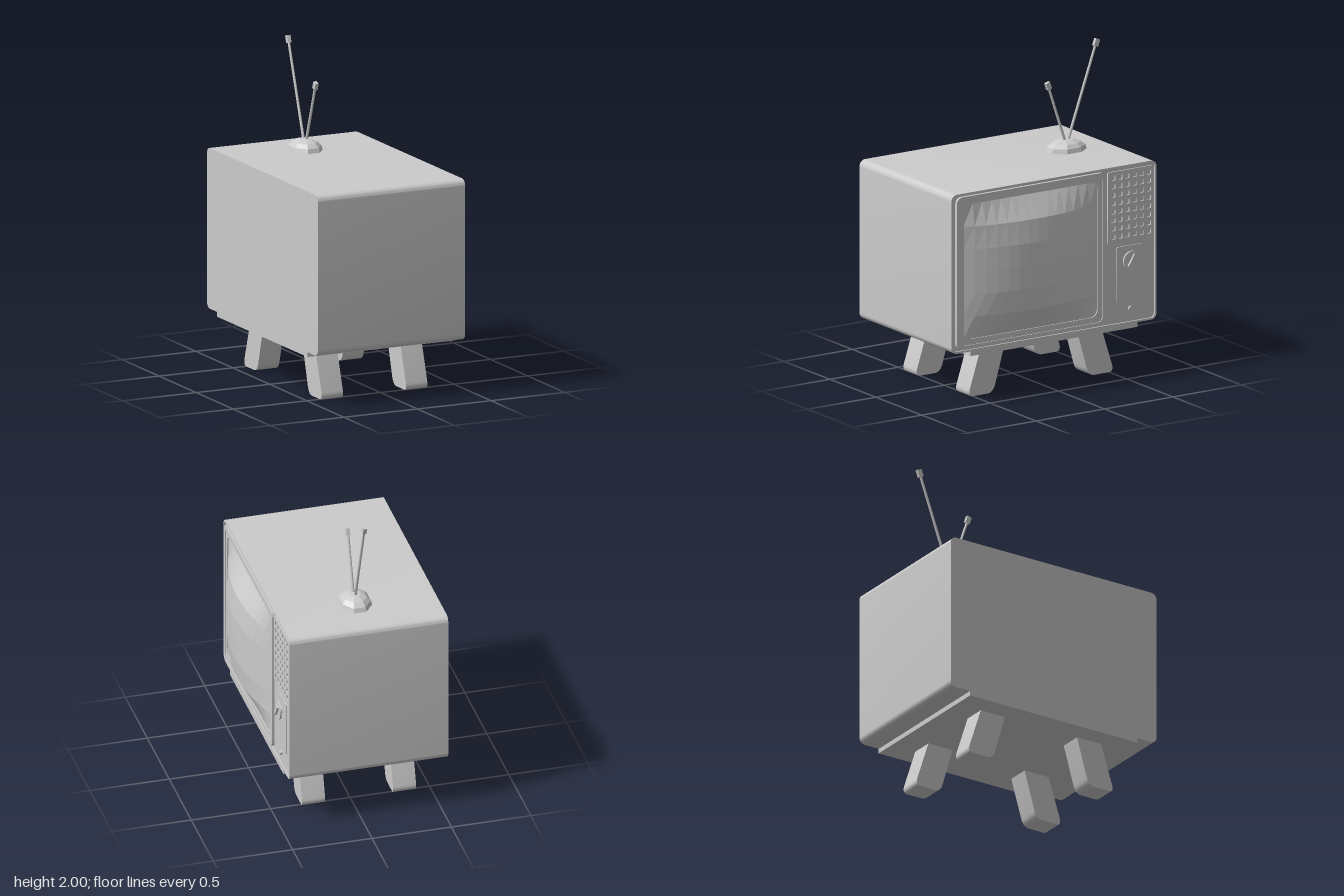
import * as THREE from 'three';
import { toCreasedNormals } from 'three/addons/utils/BufferGeometryUtils.js';

const smooth = new THREE.MeshStandardMaterial({ color: 0xcccccc });
const faceted = new THREE.MeshStandardMaterial({ color: 0xcccccc, flatShading: true });

// Rounded rectangle outline from its edges
function roundRect(x0, x1, y0, y1, r, Type = THREE.Shape) {
  const s = new Type();
  const h = Math.PI / 2;
  s.absarc(x1 - r, y0 + r, r, -h, 0);
  s.absarc(x1 - r, y1 - r, r, 0, h);
  s.absarc(x0 + r, y1 - r, r, h, 2 * h);
  s.absarc(x0 + r, y0 + r, r, 2 * h, 3 * h);
  s.closePath();
  return s;
}

// Shape extruded between two depths
function slab(shape, z0, z1, curveSegments = 6) {
  const g = new THREE.ExtrudeGeometry(shape, { depth: z1 - z0, bevelEnabled: false, curveSegments });
  g.translate(0, 0, z0);
  return toCreasedNormals(g, 0.6);
}

// Frame: outer outline with an inner opening
function ring(outer, inner, z0, z1) {
  const s = roundRect(...outer);
  s.holes.push(roundRect(...inner, THREE.Path));
  return slab(s, z0, z1);
}

export function createModel() {
  const model = new THREE.Group();
  model.name = 'television';
  // The set is built with its screen towards local +z, then turned to +x
  const set = new THREE.Group();
  set.name = 'televisionSet';
  set.rotation.y = Math.PI / 2;
  model.add(set);

  const add = (name, geometry, material = smooth, parent = set) => {
    const m = new THREE.Mesh(geometry, material);
    m.name = name;
    parent.add(m);
    return m;
  };

  // Cabinet with a thin lip around the front panel
  add('cabinet', slab(roundRect(-0.75, 0.75, 0.33, 1.33, 0.04), -0.55, 0.44));
  add('cabinetLip', ring([-0.75, 0.75, 0.33, 1.33, 0.04], [-0.738, 0.738, 0.342, 1.318, 0.03], 0.44, 0.45));
  add('basePlate', new THREE.BoxGeometry(1.22, 0.04, 1)).position.set(0, 0.32, -0.05);

  // Stepped frame around the screen
  add('screenFrameOuter', ring([-0.715, 0.376, 0.35, 1.31, 0.04], [-0.692, 0.352, 0.373, 1.287, 0.035], 0.44, 0.458));
  add('screenFrameInner', ring([-0.694, 0.354, 0.371, 1.289, 0.035], [-0.66, 0.318, 0.408, 1.257, 0.05], 0.44, 0.452));

  // Bulging picture tube
  const tube = new THREE.PlaneGeometry(0.98, 0.85, 14, 6);
  const p = tube.attributes.position;
  for (let i = 0; i < p.count; i++) {
    const u = p.getX(i) / 0.49, v = p.getY(i) / 0.425;
    p.setZ(i, 0.445 + 0.1 * (1 - u * u) * (1 - v ** 4));
  }
  tube.translate(-0.171, 0.833, 0);
  add('screen', tube, faceted);

  // Speaker grille with square holes
  const grille = roundRect(0.395, 0.732, 0.85, 1.3, 0.01);
  for (let c = 0; c < 6; c++) {
    for (let r = 0; r < 8; r++) {
      const x = 0.564 + (c - 2.5) * 0.052, y = 1.075 + (r - 3.5) * 0.053;
      grille.holes.push(roundRect(x - 0.015, x + 0.015, y - 0.015, y + 0.015, 0.004, THREE.Path));
    }
  }
  add('speakerGrille', slab(grille, 0.44, 0.449, 1));

  // Control panel with dial and button
  add('controlPanel', slab(roundRect(0.46, 0.66, 0.47, 0.82, 0.008), 0.44, 0.447));
  const disc = (name, r, x, y, z0, z1) => {
    const g = new THREE.CylinderGeometry(r, r, z1 - z0, 24).rotateX(Math.PI / 2);
    return add(name, g).position.set(x, y, (z0 + z1) / 2);
  };
  disc('dialStem', 0.025, 0.556, 0.73, 0.44, 0.464);
  disc('dial', 0.06, 0.556, 0.73, 0.462, 0.473);
  const grip = add('dialGrip', slab(roundRect(-0.013, 0.013, -0.045, 0.045, 0.006), 0.47, 0.486));
  grip.position.set(0.556, 0.73, 0);
  grip.rotation.z = -0.55;
  disc('buttonStem', 0.008, 0.557, 0.425, 0.44, 0.452);
  disc('button', 0.016, 0.557, 0.425, 0.45, 0.462);

  // Splayed legs with rounded feet
  const leg = new THREE.Shape();
  leg.moveTo(0.26, 0.31);
  leg.lineTo(0.335, 0.05);
  leg.quadraticCurveTo(0.35, 0, 0.39, 0);
  leg.lineTo(0.495, 0);
  leg.quadraticCurveTo(0.533, 0, 0.52, 0.045);
  leg.lineTo(0.435, 0.31);
  leg.closePath();
  for (const [place, z0] of [['front', 0.163], ['back', -0.41]]) {
    const g = slab(leg, z0, z0 + 0.145);
    add(place + 'LegA', g);
    const twin = add(place + 'LegB', g);
    twin.rotation.y = Math.PI;
    twin.position.z = 2 * z0 + 0.145;
  }

  // Antenna: faceted dome and two capped rods
  const antenna = new THREE.Group();
  antenna.name = 'antenna';
  set.add(antenna);
  const dome = new THREE.SphereGeometry(1, 8, 4, 0, Math.PI * 2, 0, Math.PI / 2).rotateY(Math.PI / 8);
  dome.scale(0.137, 0.07, 0.104);
  add('antennaDome', dome, faceted, antenna).position.set(0.423, 1.33, -0.05);

  const up = new THREE.Vector3(0, 1, 0);
  const rods = [
    [new THREE.Vector3(0.437, 1.385, -0.05), new THREE.Vector3(0.652, 1.993, -0.05)],
    [new THREE.Vector3(0.413, 1.385, -0.044), new THREE.Vector3(0.282, 1.774, -0.044)],
  ];
  for (const [a, b] of rods) {
    const length = a.distanceTo(b);
    const rod = new THREE.Group();
    rod.name = 'antennaRod';
    rod.position.copy(a);
    rod.quaternion.setFromUnitVectors(up, b.clone().sub(a).normalize());
    antenna.add(rod);
    add('rod', new THREE.CylinderGeometry(0.008, 0.009, length, 8), smooth, rod).position.y = length / 2;
    add('rodTip', new THREE.BoxGeometry(0.031, 0.046, 0.022), smooth, rod).position.y = length - 0.023;
  }

  return model;
}
